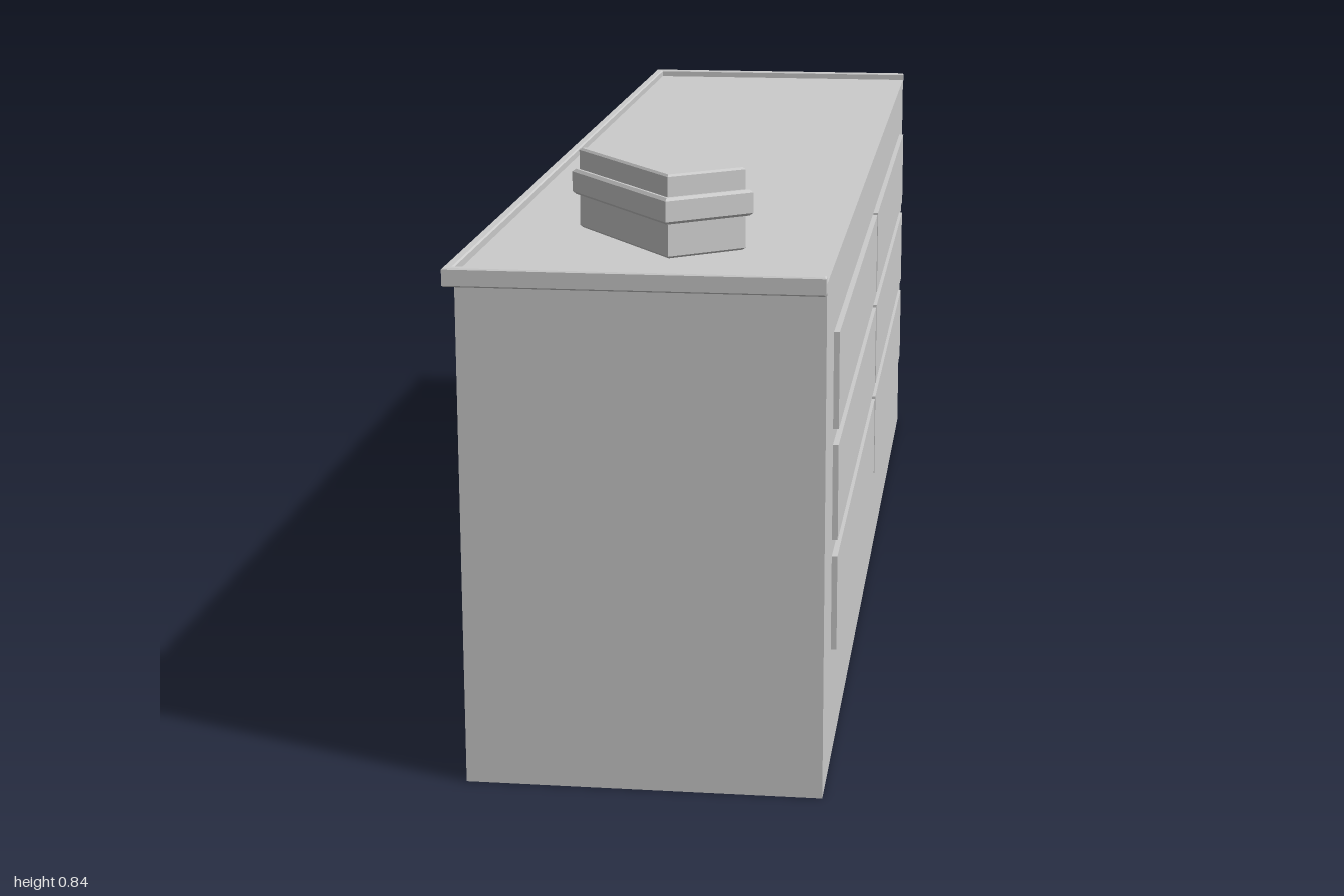
import * as THREE from 'three';

const material = new THREE.MeshStandardMaterial({ color: 0xcccccc, flatShading: true });

function add(parent, name, geometry, x = 0, y = 0, z = 0) {
  const mesh = new THREE.Mesh(geometry, material);
  mesh.name = name;
  mesh.position.set(x, y, z);
  parent.add(mesh);
  return mesh;
}

// Outline in plan (x, z) raised to a slab from y = 0, with chamfered edges
function slab(points, height, bevel) {
  const shape = new THREE.Shape(points.map(([x, z]) => new THREE.Vector2(x, -z)));
  const geometry = new THREE.ExtrudeGeometry(shape, {
    depth: height - 2 * bevel, bevelEnabled: true, bevelSegments: 1,
    bevelSize: bevel, bevelThickness: bevel, bevelOffset: -bevel,
  });
  return geometry.rotateX(-Math.PI / 2).translate(0, bevel, 0);
}

function rectangle(w, d) {
  return [[-w / 2, -d / 2], [-w / 2, d / 2], [w / 2, d / 2], [w / 2, -d / 2]];
}

export function createModel() {
  const model = new THREE.Group();
  model.name = 'drawerCabinet';

  // Cabinet body
  const top = 0.726;
  add(model, 'cabinetBody', new THREE.BoxGeometry(0.5, top, 1.97), 0.002, top / 2, 0);

  // Raised trim round the back and both ends of the top, open on the drawer side
  const trim = [
    [0.252, 1], [0.252, 0.985], [-0.248, 0.985], [-0.248, -0.985],
    [0.252, -0.985], [0.252, -1], [-0.262, -1], [-0.262, 1],
  ];
  add(model, 'topTrim', slab(trim, 0.026, 0.002), 0, 0.712, 0);

  // Two columns of three drawer fronts
  const drawers = new THREE.Group();
  drawers.name = 'drawerFronts';
  model.add(drawers);
  for (const z of [0.429, -0.444]) {
    for (const y of [0.239, 0.401, 0.562]) {
      add(drawers, 'drawerFront', new THREE.BoxGeometry(0.012, 0.138, 0.854), 0.254, y, z);
    }
  }

  // Small box standing askew on the top, with a band around it
  const box = new THREE.Group();
  box.name = 'smallBox';
  box.position.set(-0.008, top, 0.707);
  box.rotation.y = -THREE.MathUtils.degToRad(53);
  model.add(box);
  add(box, 'boxBody', slab(rectangle(0.263, 0.124), 0.843 - top, 0.003));
  add(box, 'boxBand', slab(rectangle(0.279, 0.14), 0.037, 0.004), 0, 0.775 - top, 0);

  return model;
}
